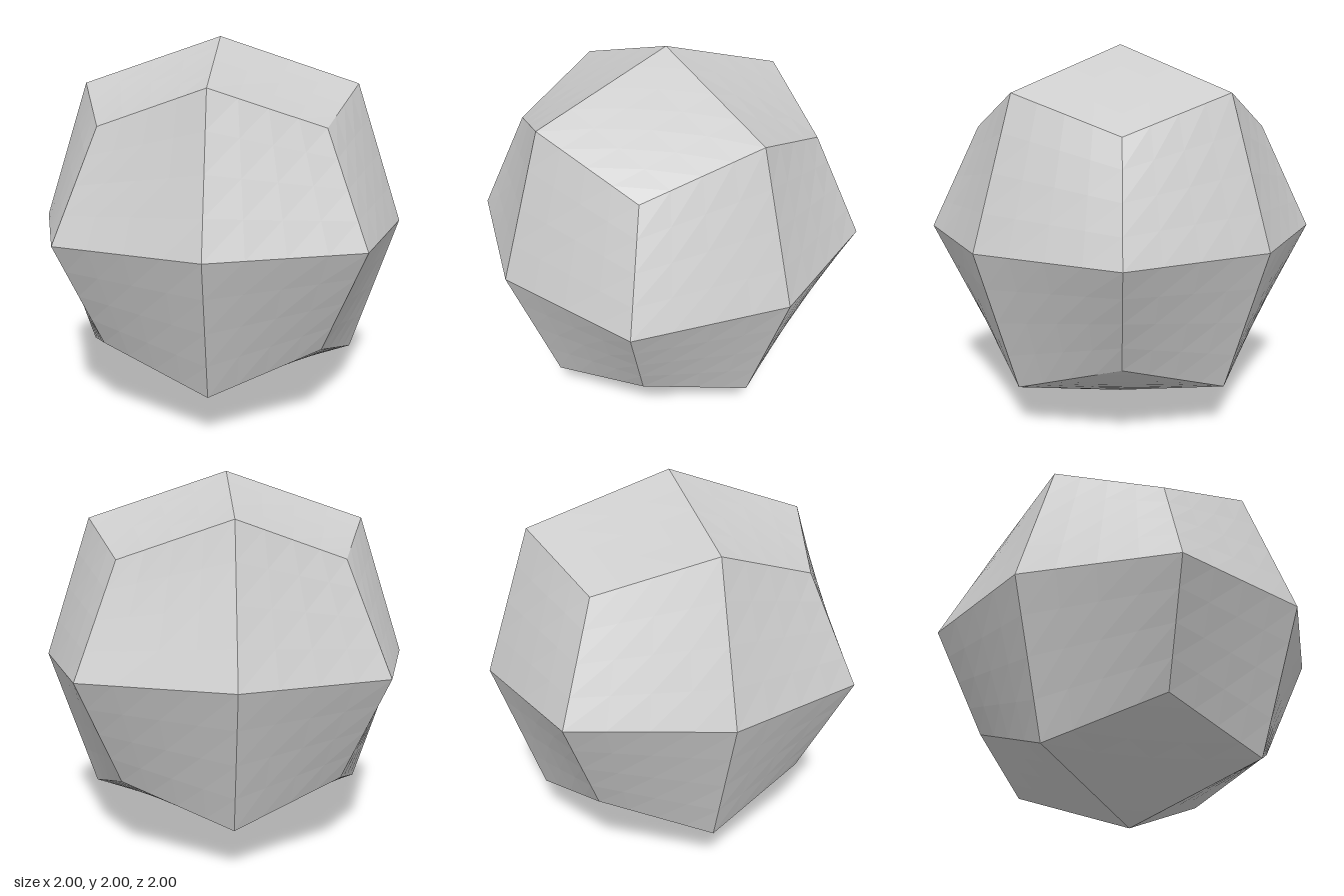
import * as THREE from 'three';

// Radial drop of the cube's edge midpoints and corners
const EDGE = 0.75;
const CORNER = 0.557;

// Pull a coordinate in according to how far the point lies along the other two axes
function pull(a, b, c) {
  const s = Math.abs(b), t = Math.abs(c);
  return a * (1 - (1 - EDGE) * (s + t) + (CORNER - 2 * EDGE + 1) * s * t);
}

export function createModel() {
  const group = new THREE.Group();
  group.name = 'facetedBall';

  // Cube whose faces become four slightly dished kite panels each: 24 in all
  const geometry = new THREE.BoxGeometry(2, 2, 2, 8, 8, 8);
  const pos = geometry.attributes.position;
  for (let i = 0; i < pos.count; i++) {
    const x = pos.getX(i), y = pos.getY(i), z = pos.getZ(i);
    pos.setXYZ(i, pull(x, y, z), pull(y, z, x), pull(z, x, y));
  }
  geometry.computeVertexNormals();

  const ball = new THREE.Mesh(
    geometry,
    new THREE.MeshStandardMaterial({ color: 0xcccccc, flatShading: true })
  );
  ball.name = 'kitePanels';
  ball.position.y = 1;
  group.add(ball);
  return group;
}
